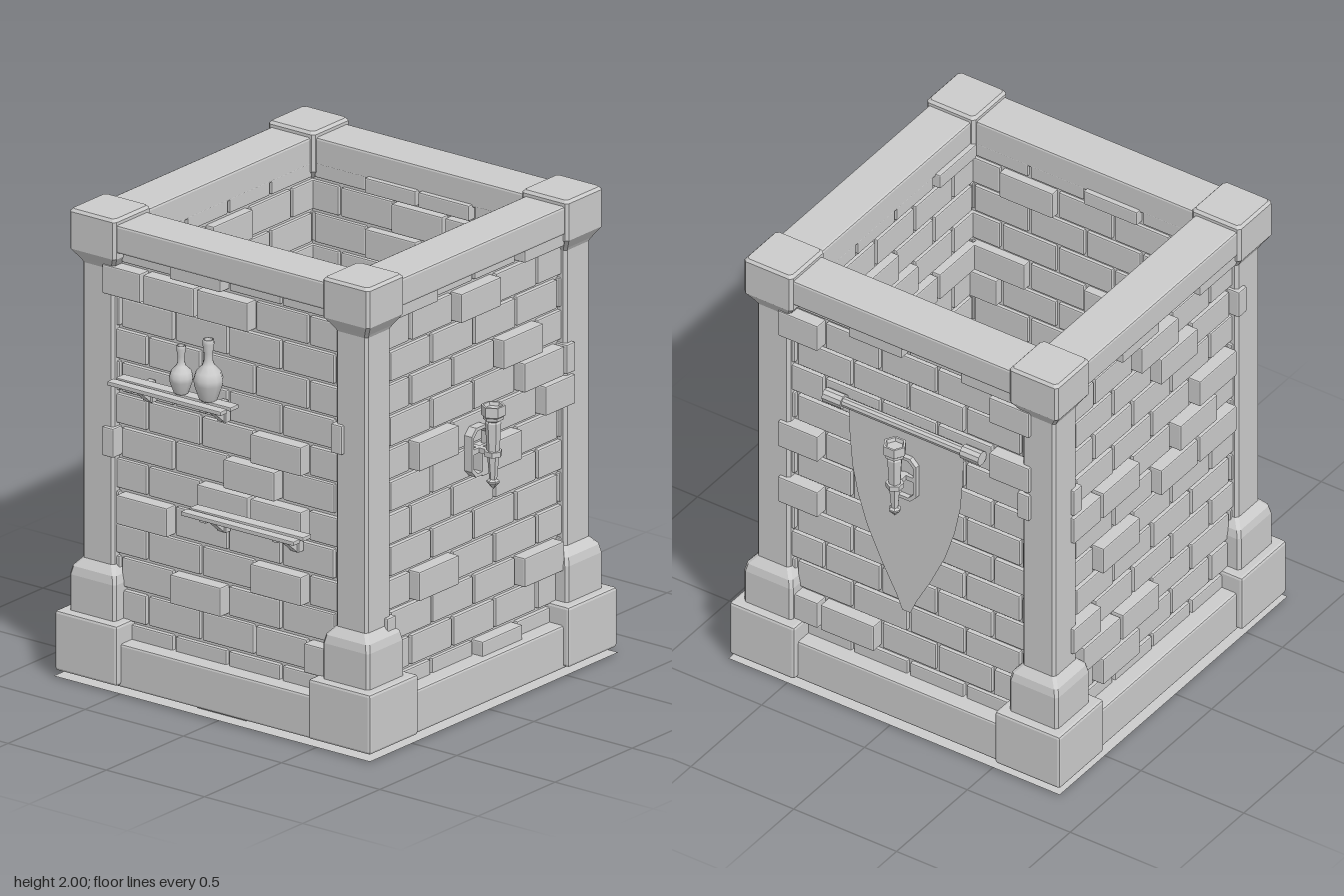
import * as THREE from 'three';
import { RoundedBoxGeometry } from 'three/addons/geometries/RoundedBoxGeometry.js';

const flat = new THREE.MeshStandardMaterial({ color: 0xcccccc, flatShading: true });
const smooth = new THREE.MeshStandardMaterial({ color: 0xcccccc });
const thin = new THREE.MeshStandardMaterial({ color: 0xcccccc, side: THREE.DoubleSide });

function add(parent, name, geometry, x = 0, y = 0, z = 0, material = flat) {
  const mesh = new THREE.Mesh(geometry, material);
  mesh.name = name;
  mesh.position.set(x, y, z);
  parent.add(mesh);
  return mesh;
}

// Bevelled block given by its limits on each axis
function block(parent, name, [x0, x1], [y0, y1], [z0, z1], bevel = 0.008) {
  const geo = new RoundedBoxGeometry(x1 - x0, y1 - y0, z1 - z0, 1, bevel);
  return add(parent, name, geo, (x0 + x1) / 2, (y0 + y1) / 2, (z0 + z1) / 2);
}

function lathe(points, segments, start = 0) {
  return new THREE.LatheGeometry(points.map(p => new THREE.Vector2(...p)), segments, start);
}

function seeded(seed) {
  return () => {
    seed = (seed * 16807) % 2147483647;
    return seed / 2147483647;
  };
}

// Square column with chamfered corners: an 8-sided lathe moved onto a clipped square
function columnGeometry(profile, chamfer) {
  const geo = lathe(profile, 8);
  const pos = geo.attributes.position;
  for (let i = 0; i < pos.count; i++) {
    const side = Math.floor(i / profile.length) % 8;
    const h = profile[i % profile.length][0];
    const c = Math.max(0, h - chamfer);
    const [x, z] = [[c, h], [h, c], [h, -c], [c, -h], [-c, -h], [-h, -c], [-h, c], [-c, h]][side];
    pos.setXYZ(i, x, pos.getY(i), z);
  }
  return geo;
}

// One side of the room, facing local +z: beams, mortar and staggered bricks
function makeWall(seed, keepFlat) {
  const wall = new THREE.Group();
  const random = seeded(seed);
  block(wall, 'topBeam', [-0.6, 0.6], [1.855, 1.975], [0.545, 0.75], 0.01);
  block(wall, 'baseBeam', [-0.6, 0.6], [0.02, 0.205], [0.57, 0.775], 0.01);
  add(wall, 'mortar', new THREE.BoxGeometry(1.24, 1.85, 0.125), 0, 0.96, 0.6225);
  const pitch = 0.273, gap = 0.007, limit = 0.61;
  for (let row = -2; row <= 11; row++) {
    const y = 1.527 - row * 0.1385;
    const shift = row % 2 ? pitch / 2 : 0;
    for (let n = -3; n <= 2; n++) {
      const x0 = Math.max(-limit, n * pitch + shift + gap);
      const x1 = Math.min(limit, (n + 1) * pitch + shift - gap);
      if (x1 - x0 < 0.04) continue;
      const behindBanner = keepFlat && Math.abs((x0 + x1) / 2) < 0.42 && y > 0.4 && y < 1.55;
      const out = random() < 0.2 && !behindBanner ? 0.742 : 0.7 + random() * 0.006;
      const inn = random() < 0.2 ? 0.522 : 0.545;
      block(wall, 'brick', [x0, x1], [y, Math.min(y + 0.1245, 1.87)], [inn, out], 0.006);
    }
  }
  return wall;
}

// Wall torch on a ring-shaped bracket, tip at y
function makeTorch(y) {
  const torch = new THREE.Group();
  torch.name = 'torch';
  torch.position.y = y;
  add(torch, 'torchBody', lathe([[0, 0], [0.026, 0.03], [0.026, 0.037], [0.016, 0.045], [0.018, 0.07],
    [0.026, 0.16], [0.033, 0.285], [0.028, 0.292], [0.042, 0.3], [0.042, 0.312], [0.05, 0.318],
    [0.05, 0.36], [0.04, 0.36], [0.035, 0.345], [0, 0.345]], 6, Math.PI / 2), 0, 0, 0.8);
  add(torch, 'torchCollar', new THREE.CylinderGeometry(0.038, 0.038, 0.022, 6), 0, 0.155, 0.8);
  add(torch, 'torchArm', new THREE.BoxGeometry(0.024, 0.022, 0.1), 0, 0.155, 0.74);
  add(torch, 'torchArm', new THREE.BoxGeometry(0.12, 0.022, 0.015), 0, 0.155, 0.73);
  const octagon = (w, h, c) => [[-w, -h + c], [-w + c, -h], [w - c, -h], [w, -h + c],
    [w, h - c], [w - c, h], [-w + c, h], [-w, h - c]].map(p => new THREE.Vector2(...p));
  const ring = new THREE.Shape(octagon(0.062, 0.105, 0.03));
  ring.holes.push(new THREE.Path(octagon(0.048, 0.091, 0.025)));
  add(torch, 'torchBracket', new THREE.ExtrudeGeometry(ring, { depth: 0.04, bevelEnabled: false }), 0, 0.15, 0.7);
  return torch;
}

// Two-plank shelf on wedge brackets
function makeShelf(x0, x1, top, brackets) {
  const shelf = new THREE.Group();
  shelf.name = 'shelf';
  const back = block(shelf, 'shelfPlank', [x0, x1], [top - 0.018, top], [0.745, 0.8], 0.004);
  back.rotation.y = 0.015;
  block(shelf, 'shelfPlank', [x0, x1], [top - 0.018, top], [0.815, 0.86], 0.004);
  const wedge = new THREE.Shape([[0.69, 0], [0.845, 0], [0.845, -0.012], [0.8, -0.018],
    [0.715, -0.09], [0.69, -0.09]].map(p => new THREE.Vector2(...p)));
  for (const x of brackets) {
    // Extruded along z, then turned so the profile lies in the z-y plane
    const geo = new THREE.ExtrudeGeometry(wedge, { depth: 0.03, bevelEnabled: false }).rotateY(-Math.PI / 2);
    add(shelf, 'shelfBracket', geo, x + 0.015, top - 0.018, 0);
    block(shelf, 'bracketPlate', [x - 0.025, x + 0.025], [top - 0.105, top - 0.035], [0.69, 0.722], 0.004);
  }
  return shelf;
}

function makeVase(parent, x, y, z, r, h) {
  const profile = [[0, 0], [0.5, 0], [0.62, 0.03], [0.97, 0.27], [1, 0.36], [0.85, 0.47], [0.42, 0.58],
    [0.3, 0.66], [0.3, 0.78], [0.4, 0.93], [0.38, 1], [0.28, 1], [0.2, 0.8], [0, 0.78]];
  add(parent, 'vase', lathe(profile.map(([a, b]) => [a * r, b * h]), 10), x, y, z, smooth);
}

// Floor stones as bands: z limits, then x edges of the stones in that band
const floorBands = [
  [-0.7, -0.39, [-0.7, -0.5, -0.165]], [-0.7, -0.475, [-0.165, -0.02, 0.08, 0.24]],
  [-0.475, -0.385, [-0.165, -0.02, 0.24]], [-0.7, -0.385, [0.24, 0.34]],
  [-0.7, -0.5, [0.34, 0.47, 0.68]], [-0.5, -0.385, [0.34, 0.47, 0.68]],
  [-0.39, -0.275, [-0.7, -0.38]], [-0.275, -0.02, [-0.47, -0.38]],
  [-0.275, -0.13, [-0.7, -0.47]], [-0.13, -0.02, [-0.7, -0.47]],
  [-0.38, -0.02, [-0.38, -0.235]], [-0.38, -0.255, [-0.235, -0.025]], [-0.255, -0.02, [-0.235, -0.025]],
  [-0.385, -0.225, [-0.025, 0.34]], [-0.225, -0.02, [-0.025, 0.205, 0.34]],
  [-0.385, -0.17, [0.34, 0.68]], [-0.17, -0.02, [0.34, 0.68]],
  [-0.02, 0.12, [-0.7, -0.38]], [0.12, 0.34, [-0.7, -0.38]],
  [-0.02, 0.195, [-0.38, -0.255, -0.025]], [0.195, 0.34, [-0.38, -0.025]],
  [-0.02, 0.21, [-0.025, 0.185]], [0.21, 0.34, [-0.025, 0.185]], [-0.02, 0.34, [0.185, 0.34]],
  [-0.02, 0.245, [0.34, 0.43]], [-0.02, 0.08, [0.43, 0.68]], [0.08, 0.245, [0.43, 0.68]],
  [0.245, 0.34, [0.34, 0.68]], [0.34, 0.43, [-0.7, -0.38]], [0.43, 0.66, [-0.7, -0.38]],
  [0.34, 0.66, [-0.38, -0.28]], [0.34, 0.43, [-0.28, -0.025, 0.125]],
  [0.43, 0.66, [-0.28, -0.125, -0.025, 0.125]], [0.34, 0.66, [0.125, 0.34, 0.47, 0.68]],
];

export function createModel() {
  const model = new THREE.Group();
  const room = new THREE.Group();
  room.name = 'room';
  room.position.set(-0.0235, 0, -0.02);
  model.add(room);

  // Four walls: front, right side, back, left side
  const walls = ['frontWall', 'sideWallA', 'backWall', 'sideWallB'].map((name, i) => {
    const wall = makeWall(1234 + i * 7919, i === 2);
    wall.name = name;
    wall.rotation.y = i * Math.PI / 2;
    room.add(wall);
    return wall;
  });

  // Corner columns on pedestals
  const shaft = columnGeometry([[0, 0.27], [0.118, 0.27], [0.118, 0.44], [0.11, 0.475], [0.08, 0.51],
    [0.08, 1.77], [0.088, 1.785], [0.118, 1.83], [0.118, 1.988], [0.108, 2], [0, 2]], 0.012);
  for (const sx of [-1, 1]) for (const sz of [-1, 1]) {
    const x = sx * 0.645, z = sz * 0.645;
    add(room, 'column', shaft, x, 0, z);
    block(room, 'pedestal', [x - 0.158, x + 0.158], [0.03, 0.287], [z - 0.158, z + 0.158], 0.012);
  }

  // Ground sheet and paving
  add(room, 'groundSheet', new THREE.PlaneGeometry(1.61, 1.61).rotateX(-Math.PI / 2), 0, 0.006, 0, thin);
  const random = seeded(77);
  for (const [z0, z1, xs] of floorBands) {
    for (let i = 0; i + 1 < xs.length; i++) {
      const top = 0.045 + random() * 0.012, base = random() < 0.3 ? 0 : 0.008;
      block(model, 'floorStone', [xs[i] + 0.005, xs[i + 1] - 0.005], [base, top], [z0 + 0.005, z1 - 0.005], 0.01);
    }
  }

  // Torches on one side wall and the back wall
  walls[1].add(makeTorch(0.935));
  walls[2].add(makeTorch(1.06));

  // Banner hanging from a rod on the back wall
  const half = [[0.28, 1.47], [0.275, 1.3], [0.262, 1.15], [0.235, 1.02], [0.19, 0.88], [0.12, 0.73], [0.05, 0.6], [0.02, 0.53]];
  const outline = [...half, ...half.map(([x, y]) => [-x, y]).reverse()].map(p => new THREE.Vector2(...p));
  add(walls[2], 'banner', new THREE.ShapeGeometry(new THREE.Shape(outline)), 0, 0, 0.718, thin);
  const rod = (r, len, x) => add(walls[2], 'bannerRod',
    new THREE.CylinderGeometry(r, r, len, 10).rotateZ(Math.PI / 2), x, 1.465, 0.735, flat);
  rod(0.022, 0.74, 0);
  for (const s of [-1, 1]) rod(0.031, 0.09, s * 0.335);

  // Shelves and vases on the front wall
  model.add(makeShelf(-0.5, 0.08, 1.36, [-0.4, -0.025]));
  model.add(makeShelf(-0.125, 0.45, 0.89, [-0.025, 0.345]));
  makeVase(model, -0.18, 1.36, 0.785, 0.05, 0.205);
  makeVase(model, -0.045, 1.36, 0.78, 0.062, 0.26);
  return model;
}
